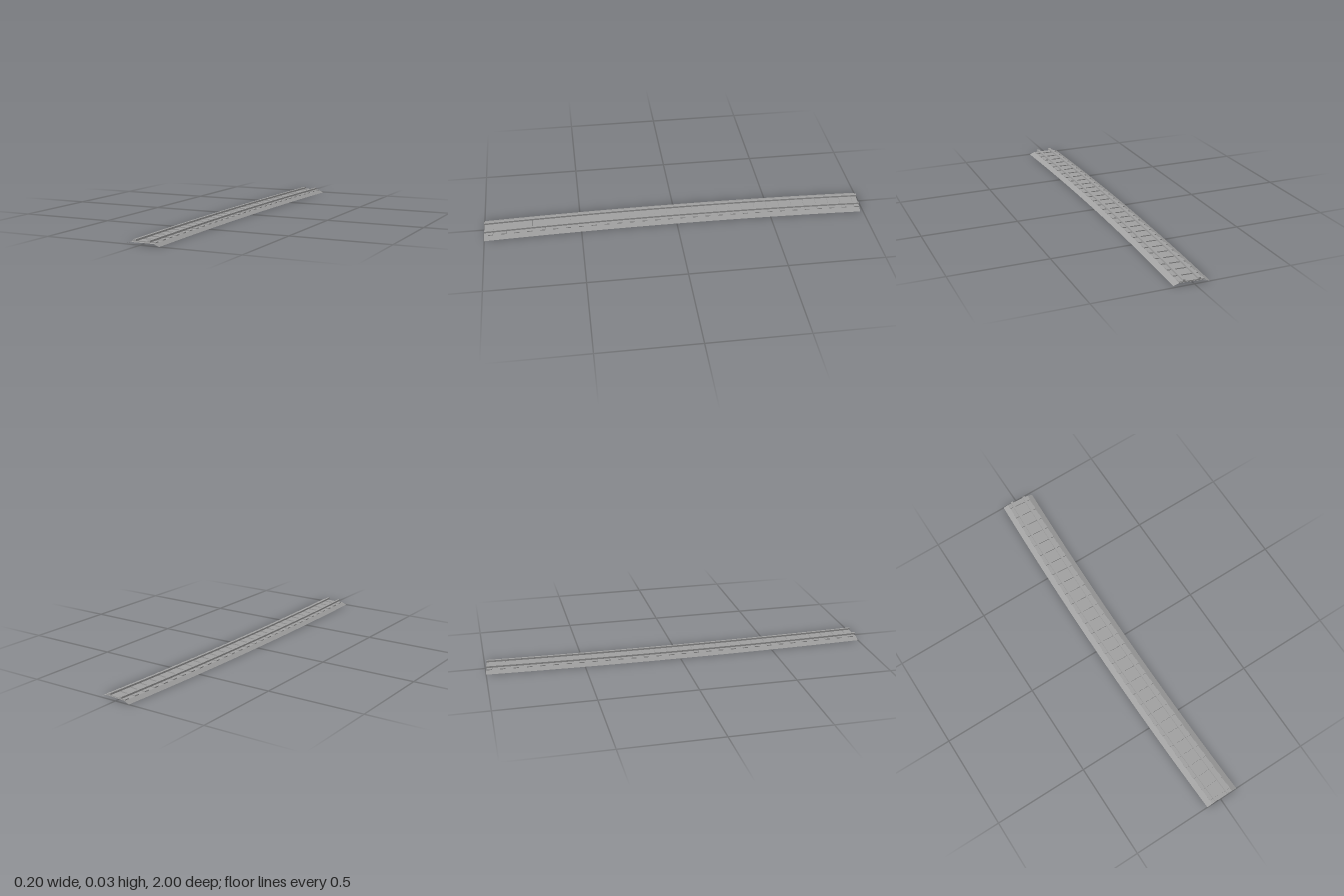
import * as THREE from 'three';

const FRONT = 1, BACK = -0.992, SEGMENTS = 30;
const SLEEPERS = 30, SPACING = 0.067, FIRST_SLEEPER = 0.967;

// Bends straight track coordinates (x across, z along) onto the gentle curve.
function bend(geometry) {
  const p = geometry.attributes.position;
  for (let i = 0; i < p.count; i++) {
    const u = p.getX(i), s = p.getZ(i);
    const angle = 0.0425 * (1 - s);
    const centre = -0.013 + 0.022 * s * s;
    p.setX(i, centre + u * Math.cos(angle));
    p.setZ(i, s + u * Math.sin(angle));
  }
  const flat = geometry.toNonIndexed();
  flat.computeVertexNormals();
  return flat;
}

export function createModel() {
  const track = new THREE.Group();
  track.name = 'railwayTrack';
  const grey = new THREE.MeshStandardMaterial({ color: 0xa0a0a0, side: THREE.DoubleSide });
  grey.name = 'grey';
  const length = FRONT - BACK, middle = (FRONT + BACK) / 2;

  const add = (name, geometry, parent = track) => {
    const mesh = new THREE.Mesh(bend(geometry), grey);
    mesh.name = name;
    parent.add(mesh);
  };

  // Ballast bed: an open sheet with a flat top and sloping shoulders
  const bed = new THREE.PlaneGeometry(3, length, 3, SEGMENTS).rotateX(-Math.PI / 2).translate(0, 0, middle);
  const across = [-0.0885, -0.06, 0.06, 0.0885], height = [0, 0.011, 0.011, 0];
  const p = bed.attributes.position;
  for (let i = 0; i < p.count; i++) {
    const k = Math.round(p.getX(i) + 1.5);
    p.setX(i, across[k]);
    p.setY(i, height[k]);
  }
  add('ballastBed', bed);

  // Sleepers, evenly spaced along the bed
  const sleepers = new THREE.Group();
  sleepers.name = 'sleepers';
  track.add(sleepers);
  for (let i = 0; i < SLEEPERS; i++) {
    add('sleeper', new THREE.BoxGeometry(0.122, 0.005, 0.027)
      .translate(0, 0.0135, FIRST_SLEEPER - i * SPACING), sleepers);
  }

  // Pair of rails
  for (const side of [-1, 1]) {
    add(side > 0 ? 'leftRail' : 'rightRail',
      new THREE.BoxGeometry(0.012, 0.009, length, 1, 1, SEGMENTS)
        .translate(side * 0.0365, 0.0205, middle));
  }
  return track;
}
